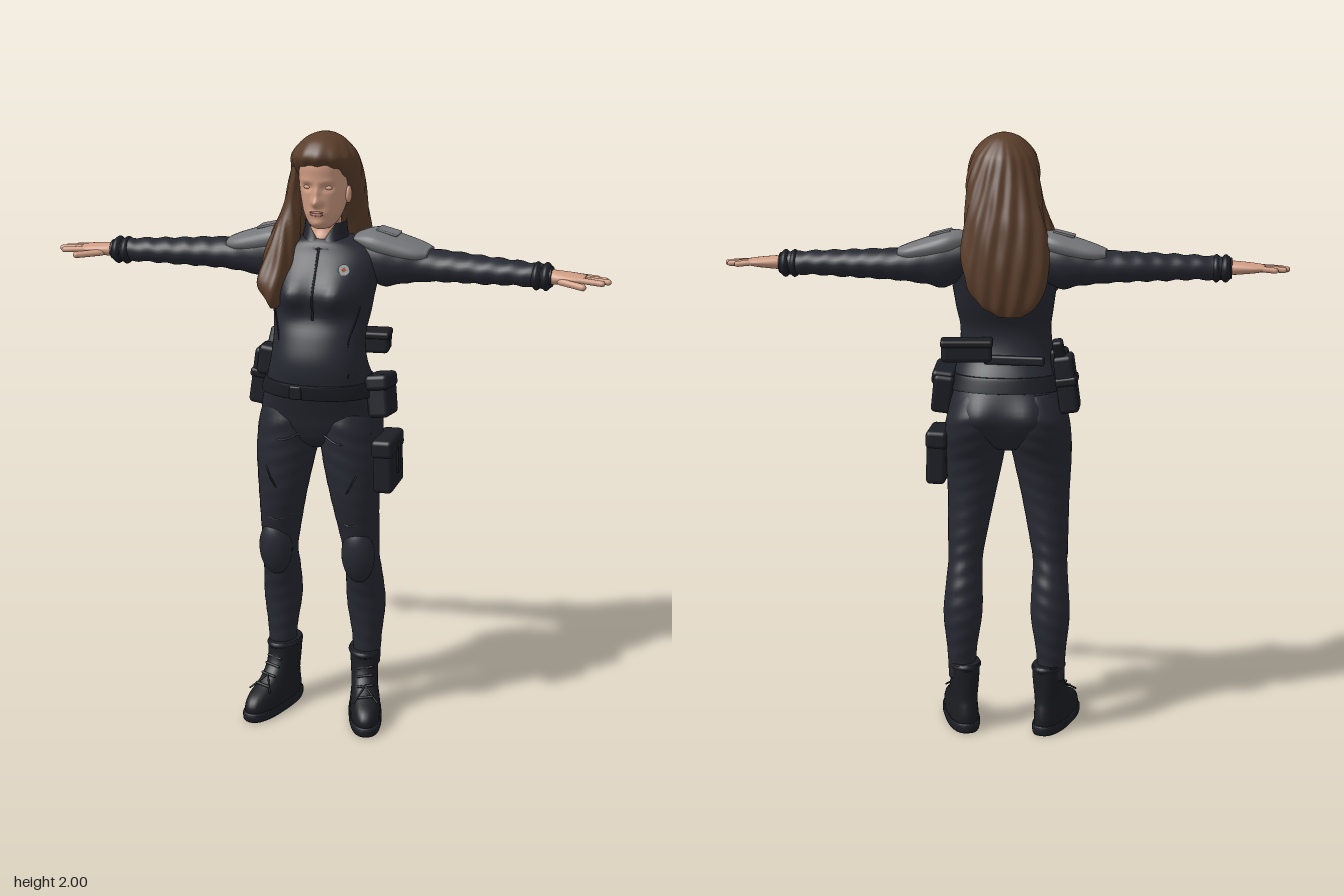
import * as THREE from 'three';
import { RoundedBoxGeometry } from 'three/addons/geometries/RoundedBoxGeometry.js';

const paint = (name, color) => Object.assign(new THREE.MeshStandardMaterial({ color }), { name });

// Catmull-Rom blend of four numbers
const blend = (a, b, c, d, t) =>
  0.5 * (2 * b + (c - a) * t + (2 * a - 5 * b + 4 * c - d) * t * t + (3 * b - a - 3 * c + d) * t * t * t);

// Smooth skin through oval sections [s, a0, a1, z0, z1]; s runs along y (a = x) or along x (a = y)
function loft(rows, { axis = 'y', n = 32, sub = 5, pow = 1, warp, open = false } = {}) {
  const rings = [], last = rows.length - 1;
  for (let i = 0; i < last; i++)
    for (let k = 0; k < sub; k++)
      rings.push(rows[i].map((b, q) =>
        blend(rows[Math.max(i - 1, 0)][q], b, rows[i + 1][q], rows[Math.min(i + 2, last)][q], k / sub)));
  rings.push(rows[last]);
  const pos = [], idx = [], v = new THREE.Vector3();
  const put = (s, a, z) => {
    axis === 'y' ? v.set(a, s, z) : v.set(s, a, z);
    if (warp) warp(v);
    pos.push(v.x, v.y, v.z);
  };
  const tri = (a, b, c) => (axis === 'y' ? idx.push(a, b, c) : idx.push(a, c, b));
  const bend = (c) => Math.sign(c) * Math.abs(c) ** pow;
  for (const [s, a0, a1, z0, z1] of rings)
    for (let j = 0; j < n; j++) {
      const th = (j / n) * Math.PI * 2;
      put(s, (a0 + a1) / 2 + ((a1 - a0) / 2) * bend(Math.cos(th)), (z0 + z1) / 2 + ((z1 - z0) / 2) * bend(Math.sin(th)));
    }
  const top = rings.length - 1;
  for (let i = 0; i < top; i++)
    for (let j = 0; j < n; j++) {
      const a = i * n + j, b = i * n + ((j + 1) % n);
      tri(a, a + n, b);
      tri(b, a + n, b + n);
    }
  if (!open) {
    for (const r of [rings[0], rings[top]]) put(r[0], (r[1] + r[2]) / 2, (r[3] + r[4]) / 2);
    const c = rings.length * n;
    for (let j = 0; j < n; j++) {
      const k = (j + 1) % n;
      tri(c, j, k);
      tri(c + 1, top * n + k, top * n + j);
    }
  }
  const g = new THREE.BufferGeometry();
  g.setAttribute('position', new THREE.Float32BufferAttribute(pos, 3));
  g.setIndex(idx);
  g.computeVertexNormals();
  return g;
}

function mirrored(geo) {
  const g = geo.clone().scale(-1, 1, 1), ix = g.index.array;
  for (let i = 0; i < ix.length; i += 3) [ix[i + 1], ix[i + 2]] = [ix[i + 2], ix[i + 1]];
  return g;
}

// Rounded rod between two points
function rod(a, b, r) {
  const A = new THREE.Vector3(...a), B = new THREE.Vector3(...b), d = B.clone().sub(A);
  const q = new THREE.Quaternion().setFromUnitVectors(new THREE.Vector3(0, 1, 0), d.clone().normalize());
  return new THREE.CapsuleGeometry(r, d.length(), 5, 12).applyQuaternion(q).translate(...A.add(B).multiplyScalar(0.5).toArray());
}

// Front surface depth of a geometry near (x, y)
function frontZ(geo, x, y) {
  const p = geo.attributes.position;
  let best = 1e9, z = 0;
  for (let i = 0; i < p.count; i++) {
    const d = (p.getX(i) - x) ** 2 + (p.getY(i) - y) ** 2;
    if (p.getZ(i) > 0.02 && d < best) { best = d; z = p.getZ(i); }
  }
  return z;
}
// Thin cord lying on the front of a geometry
const seam = (geo, pts, r) => new THREE.TubeGeometry(new THREE.CatmullRomCurve3(
  pts.map(([x, y]) => new THREE.Vector3(x, y, frontZ(geo, x, y)))), 24, r, 6);
const bump = (x, y, cx, cy, sx, sy) => Math.exp(-(((x - cx) / sx) ** 2) - ((y - cy) / sy) ** 2);

export function createModel() {
  const root = new THREE.Group();
  const suit = paint('dark suit', 0x272932), gear = paint('gear', 0x1d1f26), boot = paint('boot leather', 0x1c1d22);
  const grey = paint('shoulder grey', 0x76777a), skin = paint('skin', 0xcf9c83), lip = paint('lips', 0xb57867);
  const hair = paint('hair', 0x5b3e2b), silver = paint('badge silver', 0xa9abad), orange = paint('badge orange', 0xb5562f);
  const collarMat = paint('collar', 0x22242c);
  collarMat.side = THREE.DoubleSide;
  const add = (name, geo, mat, parent = root) => {
    const m = new THREE.Mesh(geo, mat);
    m.name = name;
    parent.add(m);
    return m;
  };
  const pair = (name, geo, mat, parent = root) => {
    add('left' + name, geo, mat, parent);
    add('right' + name, mirrored(geo), mat, parent);
  };
  const box = (name, size, at, rot = [0, 0, 0], mat = gear, r = 0.015) => {
    const m = add(name, new RoundedBoxGeometry(...size, 3, r), mat);
    m.position.set(...at);
    m.rotation.set(...rot);
  };

  // Torso
  const torso = loft([
    [0.97, -0.06, 0.03, -0.06, 0.07], [1.0, -0.14, 0.11, -0.085, 0.11], [1.05, -0.205, 0.18, -0.11, 0.135],
    [1.1, -0.208, 0.188, -0.118, 0.152], [1.2, -0.18, 0.172, -0.09, 0.19], [1.28, -0.158, 0.155, -0.05, 0.2],
    [1.36, -0.15, 0.15, -0.04, 0.178], [1.43, -0.16, 0.16, -0.07, 0.148], [1.5, -0.17, 0.17, -0.1, 0.148],
    [1.57, -0.18, 0.18, -0.12, 0.12], [1.62, -0.175, 0.175, -0.12, 0.09], [1.65, -0.13, 0.13, -0.1, 0.075],
    [1.665, -0.075, 0.075, -0.08, 0.06]], {
    n: 64, pow: 0.92, warp: (v) => {
      for (const s of [-1, 1])
        v.z += v.z > 0 ? 0.036 * bump(v.x, v.y, s * 0.075, 1.5, 0.055, 0.055) : -0.024 * bump(v.x, v.y, s * 0.09 - 0.01, 1.08, 0.06, 0.07);
    } });
  add('torso', torso, suit);
  add('zipper', seam(torso, [[0, 1.64], [0, 1.58], [0, 1.5], [0, 1.42]], 0.004), gear);
  pair('ChestSeam', seam(torso, [[0.15, 1.58], [0.14, 1.45], [0.115, 1.35], [0.12, 1.24]], 0.0025), gear);
  add('collar', loft([[1.635, -0.085, 0.085, -0.09, 0.088], [1.67, -0.072, 0.072, -0.082, 0.072], [1.715, -0.066, 0.066, -0.075, 0.06]], {
    open: true, n: 64, warp: (v) => {
      if (v.z > 0) v.y -= ((v.y - 1.635) / 0.08) * 0.07 * Math.max(0, 1 - Math.abs(v.x) / 0.045);
    } }), collarMat);

  // Chest badge
  const badge = new THREE.Group();
  badge.name = 'badge';
  badge.position.set(0.09, 1.58, frontZ(torso, 0.09, 1.58) + 0.004);
  badge.rotation.set(-0.35, 0.4, 0);
  add('badgeDisc', new THREE.CylinderGeometry(0.018, 0.018, 0.006, 20).rotateX(Math.PI / 2), silver, badge);
  add('badgeCentre', new THREE.CylinderGeometry(0.008, 0.008, 0.009, 4).rotateX(Math.PI / 2), orange, badge);
  root.add(badge);

  // Neck and head
  add('neck', loft([[1.6, -0.06, 0.06, -0.07, 0.065], [1.66, -0.052, 0.052, -0.065, 0.062], [1.7, -0.048, 0.048, -0.06, 0.045],
    [1.76, -0.048, 0.048, -0.06, 0.04]]), skin);
  const face = loft([
    [1.7, -0.025, 0.025, 0, 0.075], [1.715, -0.043, 0.043, -0.04, 0.096], [1.745, -0.06, 0.06, -0.06, 0.102],
    [1.78, -0.07, 0.07, -0.08, 0.104], [1.82, -0.077, 0.077, -0.09, 0.106], [1.86, -0.08, 0.08, -0.1, 0.111],
    [1.91, -0.08, 0.08, -0.1, 0.112], [1.95, -0.06, 0.06, -0.08, 0.085], [1.975, -0.02, 0.02, -0.03, 0.04]], {
    n: 120, sub: 8, pow: 0.95, warp: (v) => {
      if (v.z < 0.04) return;
      const { x, y } = v;
      v.z += 0.024 * bump(x, y, 0, 1.789, 0.015, 0.014) + 0.013 * bump(x, y, 0, 1.815, 0.011, 0.025)
        + 0.006 * bump(x, y, 0, 1.755, 0.025, 0.013) + 0.005 * bump(x, y, 0, 1.722, 0.02, 0.012);
      for (const s of [-1, 1]) v.z -= 0.011 * bump(x, y, s * 0.033, 1.836, 0.018, 0.011) - 0.003 * bump(x, y, s * 0.035, 1.857, 0.025, 0.008);
    } });
  add('head', face, skin);
  pair('Eyelid', new THREE.SphereGeometry(1, 16, 12).scale(0.014, 0.007, 0.006).translate(0.033, 1.835, frontZ(face, 0.033, 1.835)), skin);
  pair('Ear', new THREE.SphereGeometry(1, 16, 12).scale(0.01, 0.028, 0.018).translate(0.08, 1.805, 0.015), skin);
  for (const [y, h] of [[1.759, 0.0035], [1.751, 0.0045]])
    add('lip', new THREE.SphereGeometry(1, 16, 10).scale(0.022, h, 0.004).translate(0, y, frontZ(face, 0, y) - 0.001), lip);

  // Long hair with rippled strands, and a lock falling over the right shoulder
  const strands = (k, cx, cz, amp) => (v) => {
    const a = Math.atan2(v.z - cz, v.x - cx);
    const f = 1 + amp * Math.min(1, (2 - v.y) * 8) * (Math.sin(k * a + v.y * 16) + 0.5 * Math.sin(k * 0.5 * a - v.y * 30));
    v.x = cx + (v.x - cx) * f;
    v.z = cz + (v.z - cz) * f;
  };
  add('hair', loft([
    [1.425, -0.07, 0.0, -0.165, -0.14], [1.46, -0.12, 0.06, -0.178, -0.12], [1.52, -0.15, 0.105, -0.188, -0.09],
    [1.6, -0.16, 0.122, -0.192, -0.06], [1.7, -0.148, 0.12, -0.182, -0.03], [1.77, -0.13, 0.115, -0.165, 0.0],
    [1.85, -0.12, 0.115, -0.14, 0.055], [1.91, -0.11, 0.108, -0.12, 0.115], [1.94, -0.097, 0.097, -0.102, 0.124],
    [1.975, -0.066, 0.066, -0.068, 0.095], [1.993, -0.035, 0.035, -0.035, 0.055], [2.0, -0.008, 0.008, 0, 0.015]],
    { n: 160, sub: 6, warp: strands(18, 0, -0.03, 0.022) }), hair);
  add('frontLock', loft([
    [1.45, -0.145, -0.12, 0.125, 0.145], [1.48, -0.168, -0.105, 0.09, 0.165], [1.53, -0.188, -0.09, 0.05, 0.172],
    [1.6, -0.182, -0.08, 0, 0.14], [1.68, -0.165, -0.072, -0.04, 0.1], [1.76, -0.135, -0.068, -0.04, 0.065],
    [1.83, -0.118, -0.068, -0.03, 0.06], [1.89, -0.1, -0.07, -0.02, 0.06]],
    { n: 72, warp: strands(10, -0.13, 0.05, 0.06) }), hair);

  // Arms, shoulder pads and cuffs
  const x = { axis: 'x' };
  pair('Arm', loft([
    [0.1, 1.56, 1.665, -0.11, 0.04], [0.18, 1.505, 1.675, -0.122, 0.045], [0.25, 1.515, 1.655, -0.12, 0.036],
    [0.33, 1.525, 1.632, -0.114, 0.022], [0.42, 1.53, 1.626, -0.104, 0.024], [0.52, 1.533, 1.62, -0.085, 0.029],
    [0.62, 1.537, 1.615, -0.07, 0.03], [0.7, 1.535, 1.61, -0.056, 0.03], [0.735, 1.54, 1.605, -0.048, 0.03]],
    { ...x, sub: 10, warp: (v) => { v.y += 0.0025 * Math.sin(v.x * 95 + v.z * 40) * Math.min(1, v.x * 2); } }), suit);
  pair('ShoulderPad', loft([
    [0.1, 1.655, 1.675, -0.08, 0.03], [0.16, 1.62, 1.69, -0.126, 0.052], [0.24, 1.602, 1.668, -0.128, 0.045],
    [0.3, 1.598, 1.648, -0.122, 0.034], [0.335, 1.605, 1.634, -0.1, 0.01]], { ...x, pow: 0.85 }), grey);
  for (const s of [-1, 1])
    box('shoulderTab', [0.07, 0.008, 0.07], [s * 0.2, 1.682, -0.04], [0, 0, s * -0.24], grey, 0.003);
  for (const c of [0.685, 0.715])
    pair('Cuff', loft([[c - 0.015, 1.54, 1.605, -0.055, 0.028], [c, 1.527, 1.618, -0.064, 0.038], [c + 0.015, 1.538, 1.607, -0.053, 0.03]], x), gear);

  // Hands
  pair('Palm', loft([[0.72, 1.55, 1.598, -0.036, 0.024], [0.76, 1.553, 1.595, -0.042, 0.032], [0.81, 1.558, 1.59, -0.045, 0.034],
    [0.84, 1.564, 1.585, -0.042, 0.03]], x), skin);
  for (const [z0, tip, z1] of [[0.022, 0.895, 0.03], [0.003, 0.911, 0.004], [-0.016, 0.9, -0.018], [-0.033, 0.872, -0.038]])
    pair('Finger', rod([0.82, 1.575, z0], [tip, 1.57, z1], 0.0095), skin);
  pair('Thumb', rod([0.765, 1.567, 0.025], [0.84, 1.562, 0.062], 0.011), skin);

  // Legs with knee pads, seams and boots
  const legs = new THREE.Group();
  legs.name = 'legs';
  legs.position.x = -0.012;
  root.add(legs);
  const leg = loft([
    [0.18, 0.105, 0.195, -0.08, 0.02], [0.28, 0.1, 0.2, -0.09, 0.025], [0.4, 0.082, 0.212, -0.1, 0.037],
    [0.5, 0.083, 0.206, -0.088, 0.062], [0.58, 0.085, 0.2, -0.066, 0.09], [0.66, 0.072, 0.202, -0.056, 0.1],
    [0.8, 0.044, 0.204, -0.052, 0.13], [0.92, 0.018, 0.21, -0.068, 0.14], [1.0, 0.004, 0.211, -0.102, 0.142],
    [1.08, 0.0, 0.2, -0.122, 0.14], [1.16, 0.03, 0.16, -0.09, 0.11]], { sub: 8,
    warp: (v) => { v.z += 0.0015 * Math.sin(v.y * 110 + v.x * 40); } });
  pair('Leg', leg, suit, legs);
  for (const line of [[[0.04, 1.03], [0.1, 1.01], [0.19, 1.04]], [[0.19, 0.98], [0.14, 0.88], [0.1, 0.8]], [[0.08, 0.74], [0.13, 0.72], [0.19, 0.75]]])
    pair('LegSeam', seam(leg, line, 0.003), gear, legs);
  pair('KneePad', new THREE.SphereGeometry(1, 28, 20).scale(0.056, 0.1, 0.045).rotateX(0.12).translate(0.143, 0.605, 0.068), suit, legs);
  pair('KneeRim', new THREE.TorusGeometry(0.05, 0.004, 6, 32).scale(0.92, 1.6, 1).rotateX(0.12).translate(0.143, 0.6, 0.086), gear, legs);
  const place = (g) => g.rotateY(0.28).translate(0.148, 0, -0.01);
  pair('Boot', place(loft([
    [0.02, -0.05, 0.052, -0.095, 0.2], [0.05, -0.051, 0.053, -0.098, 0.204], [0.08, -0.048, 0.05, -0.094, 0.18],
    [0.11, -0.045, 0.046, -0.088, 0.115], [0.15, -0.046, 0.046, -0.088, 0.068], [0.19, -0.048, 0.048, -0.09, 0.05],
    [0.232, -0.05, 0.05, -0.092, 0.048]], { pow: 0.85 })), boot, legs);
  pair('Sole', place(loft([[0, -0.052, 0.054, -0.1, 0.206], [0.01, -0.055, 0.057, -0.104, 0.212], [0.028, -0.055, 0.057, -0.104, 0.212],
    [0.032, -0.052, 0.054, -0.1, 0.206]], { pow: 0.8, sub: 2 })), gear, legs);
  pair('BootRim', place(loft([[0.215, -0.05, 0.05, -0.092, 0.05], [0.225, -0.055, 0.055, -0.097, 0.055], [0.236, -0.05, 0.05, -0.092, 0.05]])), gear, legs);
  for (const [y, z] of [[0.105, 0.13], [0.13, 0.095], [0.155, 0.068], [0.18, 0.055]])
    pair('Lace', place(rod([-0.024, y, z - 0.008], [0.024, y + 0.006, z - 0.008], 0.0045)), gear, legs);
  for (const s of [-1, 1])
    pair('LaceEnd', place(rod([0, 0.135, 0.09], [s * 0.04, 0.095, 0.14], 0.003)), gear, legs);

  // Belt and buckle
  add('belt', loft([[1.165, -0.196, 0.186, -0.108, 0.187], [1.17, -0.198, 0.188, -0.108, 0.193], [1.21, -0.184, 0.178, -0.098, 0.202],
    [1.215, -0.18, 0.174, -0.092, 0.198]], { n: 64, pow: 0.92 }), gear);
  box('buckle', [0.04, 0.045, 0.02], [-0.045, 1.19, 0.193], [0, 0, 0], boot, 0.006);

  // Pouches on the left hip, lower back and left thigh
  box('hipPouch', [0.07, 0.13, 0.14], [0.2, 1.155, 0.035], [-0.15, 0, 0.12]);
  box('hipPouchFlap', [0.076, 0.05, 0.148], [0.199, 1.208, 0.043], [-0.15, 0, 0.12]);
  box('backPouch', [0.165, 0.07, 0.085], [0.113, 1.305, -0.082], [0, 0.1, 0]);
  box('backPouchFlap', [0.17, 0.025, 0.092], [0.113, 1.33, -0.082], [0, 0.1, 0], boot, 0.01);
  box('backStrap', [0.2, 0.03, 0.025], [-0.04, 1.27, -0.062], [0, -0.1, 0], gear, 0.008);
  box('thighPouch', [0.065, 0.18, 0.165], [0.222, 0.935, 0.035], [0, 0, 0.03]);
  box('thighPouchFlap', [0.072, 0.06, 0.175], [0.22, 0.995, 0.035], [0, 0, 0.03]);
  box('thighPouchStrap', [0.008, 0.1, 0.03], [0.257, 0.95, 0.035], [0, 0, 0.03], boot, 0.003);

  // Right hip holster with a tool grip
  box('holster', [0.065, 0.19, 0.11], [-0.208, 1.19, -0.005], [0, 0, -0.14]);
  box('holsterBand', [0.072, 0.03, 0.118], [-0.208, 1.2, -0.005], [0, 0, -0.14], boot, 0.01);
  box('toolGrip', [0.035, 0.1, 0.04], [-0.185, 1.29, -0.03], [-0.35, 0, -0.14], boot, 0.01);
  box('sidePouch', [0.06, 0.1, 0.07], [-0.185, 1.25, 0.03], [0, 0, -0.14]);
  return root;
}
